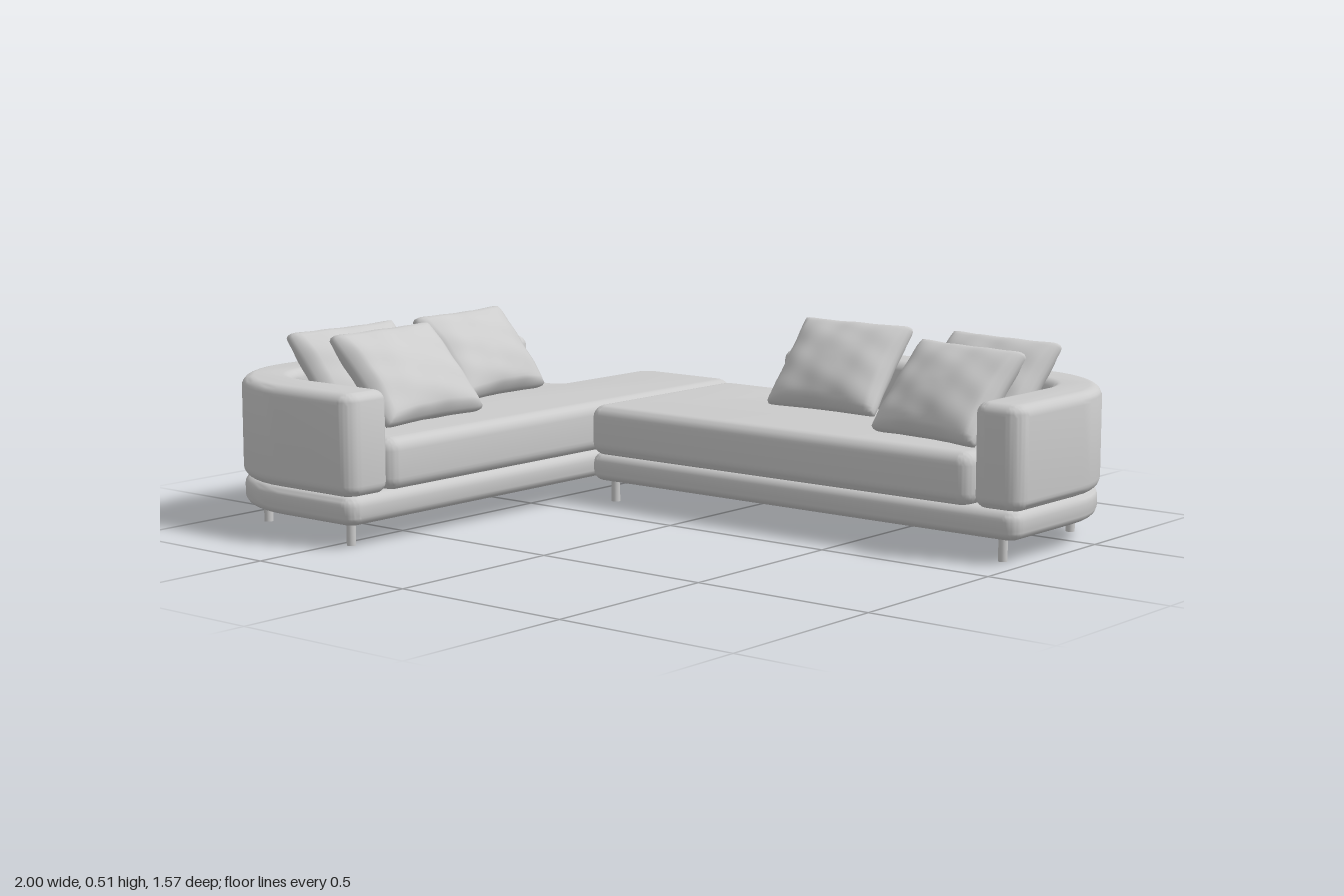
import * as THREE from 'three';
import { mergeVertices, toCreasedNormals } from 'three/addons/utils/BufferGeometryUtils.js';

const material = new THREE.MeshStandardMaterial({ color: 0xcccccc });

// Closed floor outline from [x, z, cornerRadius] points with circular corners
function roundedOutline(points) {
  const shape = new THREE.Shape();
  const n = points.length;
  points.forEach(([x, z, r], i) => {
    const corner = new THREE.Vector2(x, -z);
    const toward = ([px, pz], d) => {
      const dir = new THREE.Vector2(px, -pz).sub(corner).normalize();
      return corner.clone().addScaledVector(dir, d);
    };
    const prev = points[(i + n - 1) % n], next = points[(i + 1) % n];
    const a = toward(prev, r), b = toward(next, r);
    const c1 = toward(prev, r * 0.448), c2 = toward(next, r * 0.448);
    if (i === 0) shape.moveTo(a.x, a.y);
    else shape.lineTo(a.x, a.y);
    shape.bezierCurveTo(c1.x, c1.y, c2.x, c2.y, b.x, b.y);
  });
  shape.closePath();
  return shape;
}

// Upholstered slab between two heights with soft edges
function slab(name, points, y0, y1, bevel) {
  const geo = new THREE.ExtrudeGeometry(roundedOutline(points), {
    depth: y1 - y0 - 2 * bevel, curveSegments: 12,
    bevelThickness: bevel, bevelSize: bevel, bevelOffset: -bevel, bevelSegments: 6,
  });
  geo.rotateX(-Math.PI / 2);
  geo.translate(0, y0 + bevel, 0);
  const mesh = new THREE.Mesh(toCreasedNormals(geo, 0.6), material);
  mesh.name = name;
  return mesh;
}

// Plump cushion: a box grid with bulging faces, drawn-in sides and faint creases
function pillowGeometry(w, h, t, seed) {
  let geo = new THREE.BoxGeometry(2, 2, 2, 28, 28, 2);
  geo.deleteAttribute('uv');
  geo.deleteAttribute('normal');
  geo = mergeVertices(geo);
  const p = geo.attributes.position;
  for (let i = 0; i < p.count; i++) {
    const u = p.getX(i), v = p.getY(i), s = p.getZ(i);
    const dome = Math.pow((1 - u * u) * (1 - v * v), 0.45);
    const edge = Math.max(Math.abs(u), Math.abs(v));
    const crease = 0.006 * Math.sin(7 * u + 4 * v + seed) * Math.sin(5 * v - 3 * u + 2 * seed) * edge * dome;
    const round = 1 - 0.035 * Math.pow(Math.abs(u * v), 8);
    const seam = s === 0 && edge > 0.999 ? 1.015 : 1;
    p.setXYZ(i,
      w / 2 * u * (1 - 0.06 * (1 - v * v)) * round * seam,
      h / 2 * v * (1 - 0.06 * (1 - u * u)) * round * seam,
      s * (0.012 + (t / 2 - 0.012) * dome + crease));
  }
  geo.computeVertexNormals();
  return geo;
}

function addPillows(group, list) {
  list.forEach(([x, y, z, yaw, lean, w, h], i) => {
    const pillow = new THREE.Mesh(pillowGeometry(w, h, 0.125, i * 1.7 + x), material);
    pillow.name = 'pillow';
    pillow.position.set(x, y, z);
    pillow.rotation.set(-lean, yaw, 0, 'YXZ');
    group.add(pillow);
  });
}

function addLegs(group, spots) {
  const geo = new THREE.CylinderGeometry(0.012, 0.012, 0.08, 16);
  for (const [x, z] of spots) {
    const leg = new THREE.Mesh(geo, material);
    leg.name = 'leg';
    leg.position.set(x, 0.04, z);
    group.add(leg);
  }
}

export function createModel() {
  const model = new THREE.Group();
  model.name = 'cornerSofa';

  // Chaise section on the -x side
  const chaise = new THREE.Group();
  chaise.name = 'chaiseSection';
  chaise.add(
    slab('chaiseBase', [
      [-0.75, -0.785, 0.05], [-0.402, -0.785, 0.04], [-0.402, 0.78, 0.04],
      [-0.995, 0.78, 0.32], [-0.995, -0.4, 0.05], [-0.75, -0.4, 0.02],
    ], 0.06, 0.137, 0.028),
    slab('chaiseSeat', [
      [-0.75, -0.79, 0.06], [-0.402, -0.79, 0.045], [-0.402, 0.64, 0.04],
      [-0.86, 0.64, 0.16], [-0.86, -0.4, 0.04], [-0.75, -0.4, 0.02],
    ], 0.132, 0.27, 0.034),
    slab('chaiseBackrest', [
      [-1, -0.4, 0.045], [-0.855, -0.4, 0.045], [-0.855, 0.632, 0.15],
      [-0.405, 0.632, 0.035], [-0.405, 0.78, 0.045], [-1, 0.78, 0.32],
    ], 0.132, 0.4, 0.03),
  );
  addPillows(chaise, [
    [-0.785, 0.385, -0.1, Math.PI / 2 + 0.08, 0.68, 0.37, 0.28],
    [-0.785, 0.385, 0.36, Math.PI / 2, 0.68, 0.39, 0.28],
    [-0.62, 0.39, 0.355, Math.PI / 2 + 0.05, 0.75, 0.38, 0.3],
  ]);
  addLegs(chaise, [[-0.465, 0.72], [-0.87, 0.635], [-0.89, -0.34], [-0.7, -0.705], [-0.465, -0.705]]);

  // Long section on the +x side
  const bench = new THREE.Group();
  bench.name = 'longSection';
  bench.add(
    slab('longBase', [
      [-0.398, -0.74, 0.04], [-0.1, -0.74, 0.005], [-0.09, -0.755, 0.005], [0.995, -0.755, 0.33],
      [0.995, -0.125, 0.04], [-0.398, -0.125, 0.04],
    ], 0.06, 0.137, 0.028),
    slab('longSeat', [
      [-0.398, -0.74, 0.045], [-0.105, -0.74, 0.045], [-0.105, -0.6, 0.02],
      [0.86, -0.6, 0.16], [0.86, -0.12, 0.04], [-0.398, -0.12, 0.045],
    ], 0.132, 0.27, 0.034),
    slab('longBackrest', [
      [-0.105, -0.758, 0.045], [1, -0.758, 0.33], [1, -0.13, 0.045],
      [0.855, -0.13, 0.045], [0.855, -0.61, 0.15], [-0.105, -0.61, 0.045],
    ], 0.132, 0.4, 0.03),
  );
  addPillows(bench, [
    [0.155, 0.382, -0.545, 0, 0.7, 0.36, 0.29],
    [0.635, 0.382, -0.53, -0.14, 0.7, 0.37, 0.29],
    [0.665, 0.385, -0.315, -0.17, 0.72, 0.36, 0.29],
  ]);
  addLegs(bench, [[-0.34, -0.175], [-0.34, -0.665], [0.93, -0.175], [0.86, -0.61]]);

  model.add(chaise, bench);
  return model;
}
